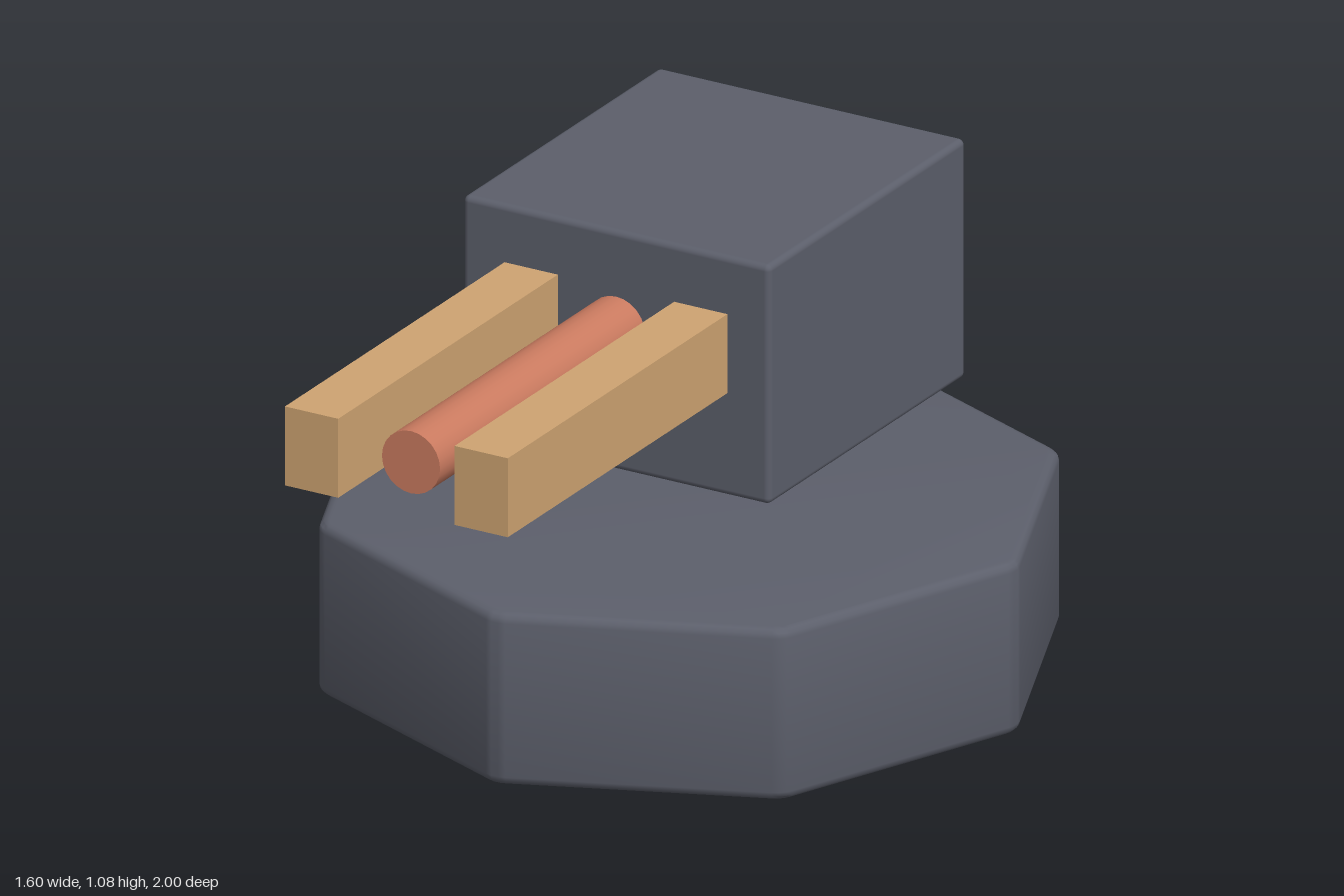
import * as THREE from 'three';
import { toCreasedNormals } from 'three/addons/utils/BufferGeometryUtils.js';
import { RoundedBoxGeometry } from 'three/addons/geometries/RoundedBoxGeometry.js';

const slate = new THREE.MeshStandardMaterial({ name: 'slate', color: 0x5c5f6b });
const tan = new THREE.MeshStandardMaterial({ name: 'tan', color: 0xcfa472 });
const copper = new THREE.MeshStandardMaterial({ name: 'copper', color: 0xcb7b60 });

function part(group, name, geometry, material, x, y, z) {
  const mesh = new THREE.Mesh(geometry, material);
  mesh.name = name;
  mesh.position.set(x, y, z);
  group.add(mesh);
  return mesh;
}

// Octagon prism with softened corners and rims, standing on y = 0
function octagonGeometry(radius, height, bevel) {
  const r = radius - bevel * 0.9;
  const corners = [];
  for (let i = 0; i < 8; i++) {
    const a = (i * Math.PI) / 4;
    corners.push(new THREE.Vector2(r * Math.cos(a), r * Math.sin(a)));
  }
  const shape = new THREE.Shape();
  corners.forEach((c, i) => {
    const before = c.clone().lerp(corners[(i + 7) % 8], 0.03);
    const after = c.clone().lerp(corners[(i + 1) % 8], 0.03);
    if (i === 0) shape.moveTo(before.x, before.y);
    else shape.lineTo(before.x, before.y);
    shape.quadraticCurveTo(c.x, c.y, after.x, after.y);
  });
  shape.closePath();
  const geometry = new THREE.ExtrudeGeometry(shape, {
    depth: height - 2 * bevel,
    bevelEnabled: true,
    bevelThickness: bevel,
    bevelSize: bevel,
    bevelSegments: 3,
    curveSegments: 3,
  });
  geometry.rotateX(-Math.PI / 2).translate(0, bevel, 0);
  return toCreasedNormals(geometry, 0.65);
}

export function createModel() {
  const model = new THREE.Group();
  model.name = 'turret';

  // Octagonal base
  part(model, 'base', octagonGeometry(0.8, 0.39, 0.02), slate, 0, 0, -0.2);

  // Head hovering above the base
  part(model, 'head', new RoundedBoxGeometry(0.75, 0.545, 0.805, 3, 0.014), slate, 0, 0.8075, -0.3025);

  // Twin rails either side of the barrel
  for (const side of [-1, 1]) {
    part(model, side > 0 ? 'leftRail' : 'rightRail',
      new THREE.BoxGeometry(0.13, 0.18, 0.95), tan, side * 0.207, 0.86, 0.525);
  }

  // Central barrel
  const barrel = new THREE.CylinderGeometry(0.071, 0.071, 0.89, 24).rotateX(Math.PI / 2);
  part(model, 'barrel', barrel, copper, 0, 0.86, 0.495);

  return model;
}
